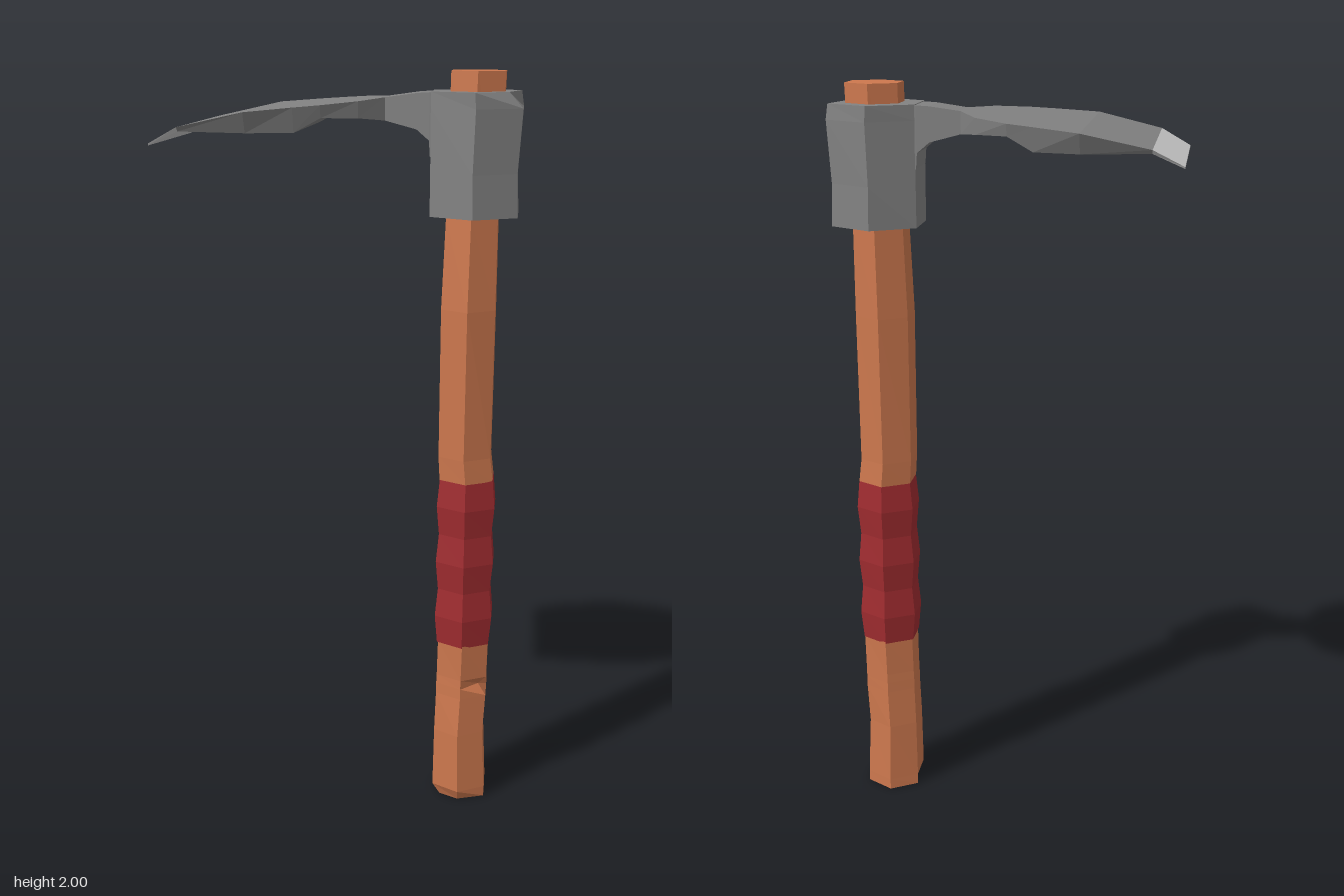
import * as THREE from 'three';

const wood = new THREE.MeshStandardMaterial({ color: 0xcd784e });
wood.name = 'wood';
const wrap = new THREE.MeshStandardMaterial({ color: 0xa02c30 });
wrap.name = 'red wrap';
const steel = new THREE.MeshStandardMaterial({ color: 0x828282 });
steel.name = 'steel';
const honed = new THREE.MeshStandardMaterial({ color: 0xcbcbcb });
honed.name = 'honed steel';

// Joins rings of points into a closed, faceted solid
function loft(name, rings, material) {
  const pos = [];
  const tri = (a, b, c) => pos.push(...a, ...b, ...c);
  const n = rings[0].length;
  for (let r = 0; r < rings.length - 1; r++) {
    for (let i = 0; i < n; i++) {
      const j = (i + 1) % n;
      const [a, b, c, d] = [rings[r][i], rings[r][j], rings[r + 1][j], rings[r + 1][i]];
      tri(a, d, c);
      tri(a, c, b);
    }
  }
  const first = rings[0], last = rings[rings.length - 1];
  for (let i = 1; i < n - 1; i++) {
    tri(first[0], first[i], first[i + 1]);
    tri(last[0], last[i + 1], last[i]);
  }
  const geometry = new THREE.BufferGeometry();
  geometry.setAttribute('position', new THREE.Float32BufferAttribute(pos, 3));
  geometry.computeVertexNormals();
  const mesh = new THREE.Mesh(geometry, material);
  mesh.name = name;
  return mesh;
}

// Six-sided ring filling x0..x1 and z0..z1, with corners on the z axis
function hexRing(y, x0, x1, z0, z1) {
  const cx = (x0 + x1) / 2, cz = (z0 + z1) / 2;
  const rx = (x1 - x0) / 2 / Math.cos(Math.PI / 6), rz = (z1 - z0) / 2;
  return Array.from({ length: 6 }, (_, k) => {
    const a = Math.PI / 6 + k * Math.PI / 3;
    return [cx + rx * Math.cos(a), y, cz + rz * Math.sin(a)];
  });
}
const hexRings = (rows) => rows.map((row) => hexRing(...row));

// Blade cross-section: wide top, narrower underside
const bladeRing = ([x, w, top, wb, bottom]) =>
  [[x, top, -w], [x, top, w], [x, bottom, wb], [x, bottom, -wb]];

export function createModel() {
  const group = new THREE.Group();
  group.name = 'hoe';

  // Lower handle, with a worn foot and a small nick
  const lower = hexRings([
    [0, 0.26, 0.405, -0.08, 0.09],
    [0.03, 0.26, 0.405, -0.08, 0.092],
    [0.2, 0.262, 0.397, -0.078, 0.09],
    [0.31, 0.265, 0.403, -0.075, 0.082],
    [0.34, 0.265, 0.403, -0.075, 0.081],
    [0.365, 0.266, 0.403, -0.075, 0.08],
    [0.47, 0.268, 0.405, -0.078, 0.086],
  ]);
  lower[0][1][2] -= 0.015;
  lower[0][2][0] += 0.02;
  lower[4][0][0] -= 0.022;
  lower[4][0][2] -= 0.012;
  group.add(loft('lowerHandle', lower, wood));

  // Cloth grip with soft bulges
  const grip = [];
  for (let i = 0; i <= 6; i++) {
    const s = i % 2 ? 0.007 : 0;
    grip.push(hexRing(0.465 + i * 0.079, 0.265 - s, 0.406 + s, -0.078 - s, 0.086 + s));
  }
  group.add(loft('grip', grip, wrap));

  // Upper handle, running through the socket
  group.add(loft('upperHandle', hexRings([
    [0.935, 0.264, 0.406, -0.08, 0.087],
    [1.0, 0.26, 0.398, -0.08, 0.088],
    [1.4, 0.26, 0.4, -0.085, 0.099],
    [1.64, 0.268, 0.4, -0.08, 0.088],
    [2.0, 0.274, 0.411, -0.076, 0.082],
  ]), wood));

  // Hexagonal socket with one chipped corner
  const socket = hexRings([
    [1.64, 0.227, 0.45, -0.124, 0.13],
    [1.75, 0.227, 0.446, -0.124, 0.13],
    [1.91, 0.226, 0.456, -0.124, 0.13],
    [1.95, 0.226, 0.45, -0.124, 0.13],
  ]);
  socket[3][0][0] -= 0.03;
  group.add(loft('socket', socket, steel));

  // Neck and blade
  group.add(loft('blade', [
    [0.26, 0.062, 1.948, 0.062, 1.79],
    [0.225, 0.061, 1.948, 0.061, 1.79],
    [0.222, 0.061, 1.948, 0.061, 1.83],
    [0.19, 0.059, 1.946, 0.059, 1.857],
    [0.11, 0.055, 1.935, 0.055, 1.878],
    [0.055, 0.17, 1.93, 0.165, 1.889],
    [-0.03, 0.231, 1.923, 0.22, 1.892],
    [-0.095, 0.25, 1.918, 0.23, 1.857],
    [-0.21, 0.283, 1.908, 0.255, 1.857],
    [-0.38, 0.255, 1.87, 0.24, 1.859],
  ].map(bladeRing), steel));

  // Sharpened cutting edge
  group.add(loft('cuttingEdge', [
    [-0.38, 0.255, 1.87, 0.24, 1.859],
    [-0.457, 0.231, 1.829, 0.228, 1.824],
  ].map(bladeRing), honed));

  return group;
}
